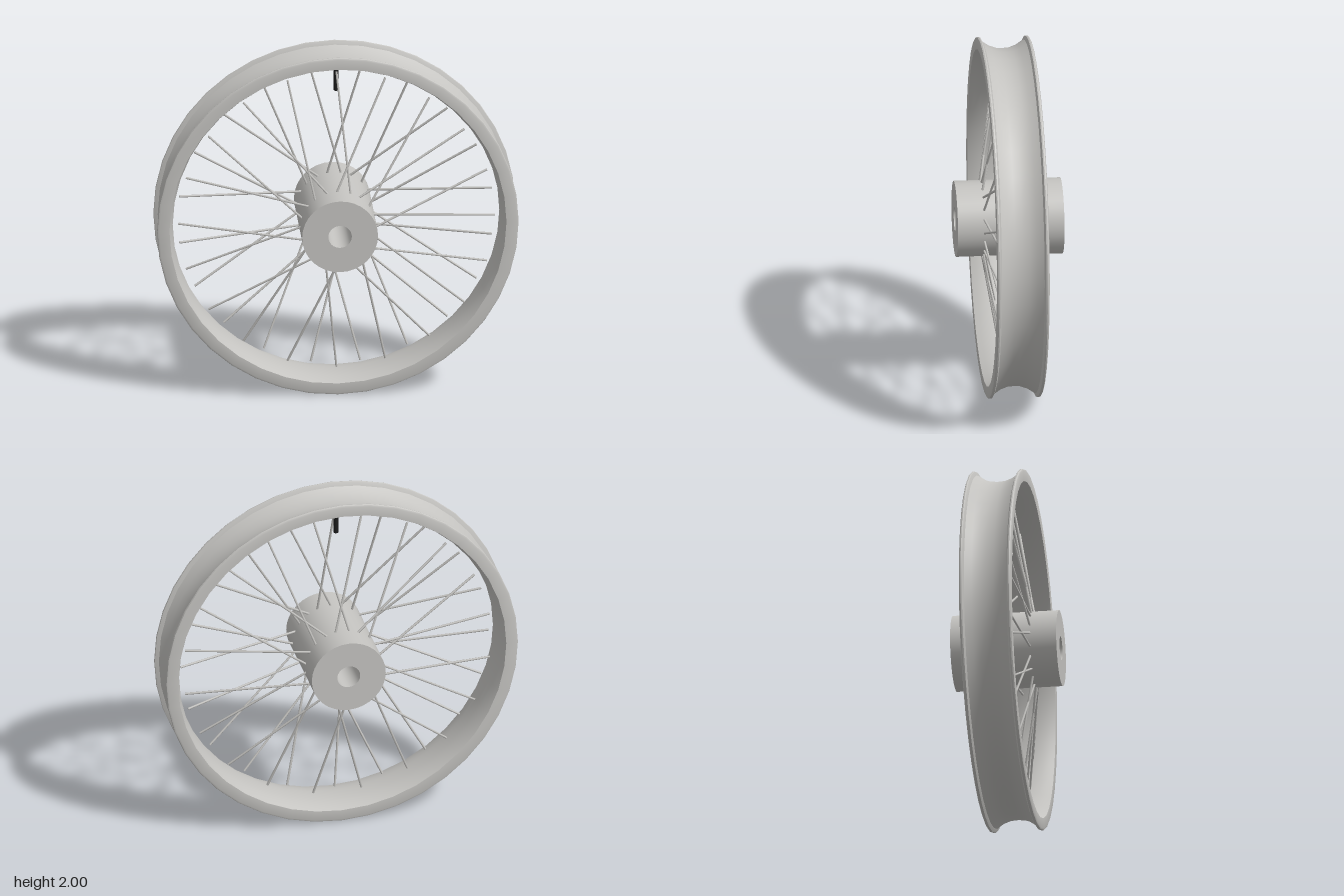
import * as THREE from 'three';
import { toCreasedNormals } from 'three/addons/utils/BufferGeometryUtils.js';

const metal = new THREE.MeshStandardMaterial({ color: 0xc4c3c0 });
metal.name = 'light grey metal';
const black = new THREE.MeshStandardMaterial({ color: 0x1c1c1c });
black.name = 'black rubber';

// Ring turned about the z axis from a closed [radius, z] profile
function ring(name, profile, segments) {
  const points = [...profile, profile[0]].map(([r, z]) => new THREE.Vector2(r, z));
  const geometry = new THREE.LatheGeometry(points, segments).rotateX(Math.PI / 2);
  const mesh = new THREE.Mesh(toCreasedNormals(geometry, 0.6), metal);
  mesh.name = name;
  return mesh;
}

// Thin rod between two points
function rod(name, from, to, radius, sides, material) {
  const span = to.clone().sub(from);
  const mesh = new THREE.Mesh(new THREE.CylinderGeometry(radius, radius, span.length(), sides), material);
  mesh.position.copy(from).addScaledVector(span, 0.5);
  mesh.quaternion.setFromUnitVectors(new THREE.Vector3(0, 1, 0), span.normalize());
  mesh.name = name;
  return mesh;
}

const polar = (radius, angle, z) =>
  new THREE.Vector3(radius * Math.cos(angle), radius * Math.sin(angle), z);

export function createModel() {
  const wheel = new THREE.Group();
  wheel.name = 'wheel';
  wheel.position.y = 1;

  // Rim: a hollow tyre bed between two rounded lips, mirrored front to back
  const bed = [[0.935, 0], [0.938, 0.04], [0.952, 0.08], [0.977, 0.118]];
  const lip = [[0.99, 0.123], [0.998, 0.127], [1, 0.134], [0.997, 0.141], [0.988, 0.145]];
  const well = [[0.932, 0.143], [0.921, 0.115], [0.911, 0.08], [0.906, 0.04], [0.905, 0]];
  const front = [...bed, ...lip, ...well];
  const back = front.slice(1, -1).reverse().map(([r, z]) => [r, -z]);
  wheel.add(ring('rim', [...front, ...back], 40));

  // Hub: a thick tube with an axle hole
  wheel.add(ring('hub', [[0.21, -0.295], [0.21, 0.295], [0.065, 0.295], [0.065, -0.295]], 32));

  // Spokes: alternate between the hub ends, and cross in pairs
  const spokes = new THREE.Group();
  spokes.name = 'spokes';
  const count = 40;
  for (let i = 0; i < count; i++) {
    const angle = (i / count) * Math.PI * 2;
    const side = i % 2 === 0 ? 1 : -1;
    const lean = (i % 4 < 2 ? 1 : -1) * 0.36;
    spokes.add(rod('spoke', polar(0.2, angle + lean, side * 0.148), polar(0.875, angle, side * 0.03), 0.0065, 6, metal));
  }
  wheel.add(spokes);

  // Valve stem hanging from the top of the rim
  wheel.add(rod('valveStem', new THREE.Vector3(0, 0.755, 0), new THREE.Vector3(0, 0.915, 0), 0.013, 10, black));

  const model = new THREE.Group();
  model.name = 'spokedWheel';
  model.add(wheel);
  return model;
}
